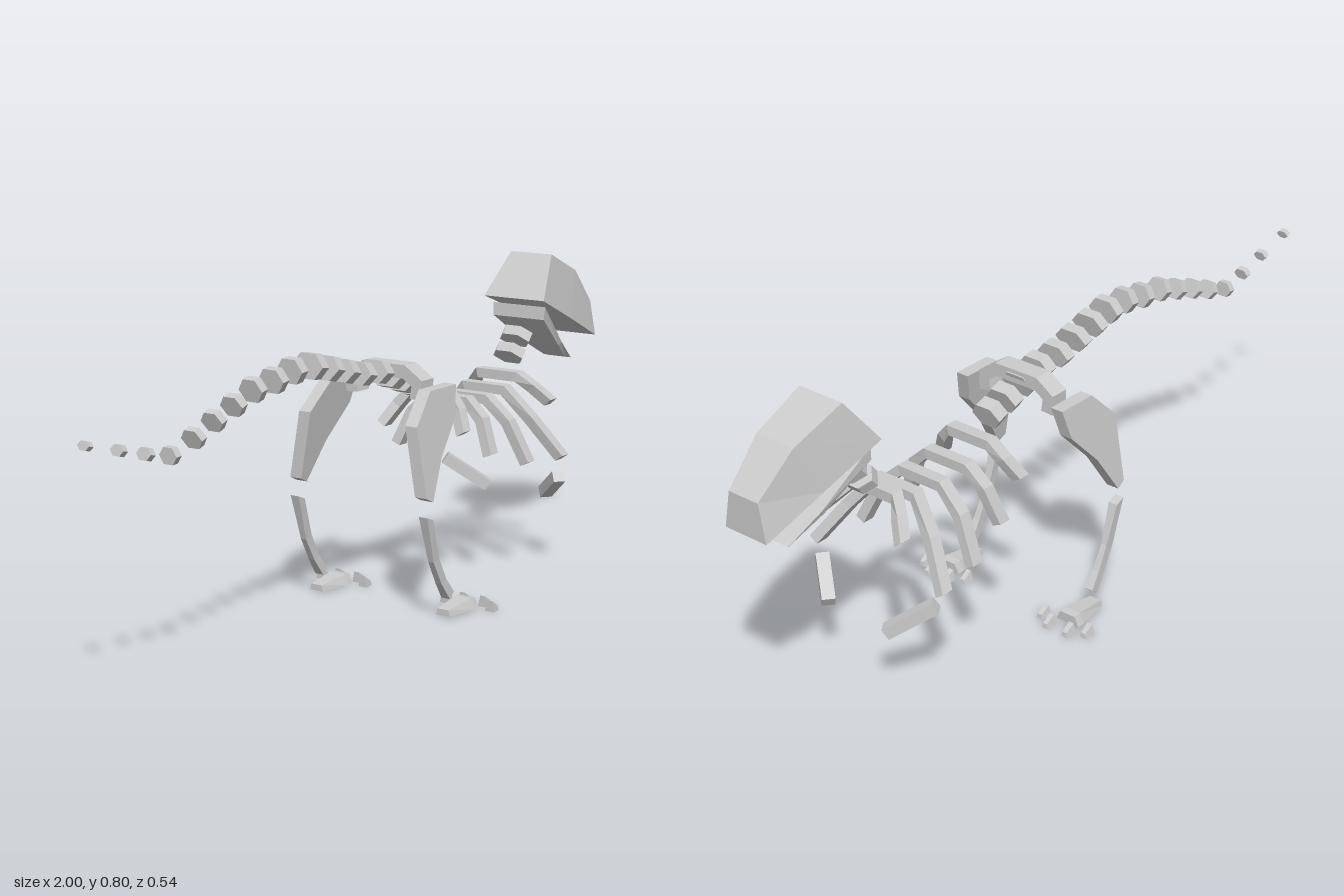
import * as THREE from 'three';

const material = new THREE.MeshStandardMaterial({ color: 0xcccccc, flatShading: true });

function add(group, name, geometry) {
  const mesh = new THREE.Mesh(geometry, material);
  mesh.name = name;
  group.add(mesh);
  return mesh;
}

// Closed solid through rings of equal point count, with flat end caps
function loft(rings) {
  const tris = [];
  const n = rings[0].length;
  for (let r = 0; r < rings.length - 1; r++) {
    for (let i = 0; i < n; i++) {
      const j = (i + 1) % n;
      const [a, b, c, d] = [rings[r][i], rings[r][j], rings[r + 1][j], rings[r + 1][i]];
      tris.push([a, b, c], [a, c, d]);
    }
  }
  const last = rings[rings.length - 1];
  for (let i = 1; i < n - 1; i++) {
    tris.push([rings[0][0], rings[0][i + 1], rings[0][i]], [last[0], last[i], last[i + 1]]);
  }
  // Turn the faces outward if the enclosed volume comes out negative
  const v = (p) => new THREE.Vector3(...p);
  const volume = tris.reduce((s, [a, b, c]) => s + v(a).dot(v(b).cross(v(c))), 0);
  if (volume < 0) tris.forEach((t) => t.reverse());
  const geometry = new THREE.BufferGeometry();
  geometry.setAttribute('position', new THREE.Float32BufferAttribute(tris.flat(2), 3));
  geometry.computeVertexNormals();
  return geometry;
}

// Trapezoid ring across z: [top x, top y, top half width, bottom x, bottom y, bottom half width, z shift]
const ring = ([tx, ty, tw, bx, by, bw, s = 0]) =>
  [[tx, ty, s - tw], [tx, ty, s + tw], [bx, by, s + bw], [bx, by, s - bw]];

// Bent bar arching over the body, mirrored across z; half path is [x, y, z] from the top outward
function arch(half, width, thick) {
  const path = [...half.map(([x, y, z]) => [x, y, -z]).reverse(), ...half];
  return loft(path.map(([x, y, z], i) => {
    const a = path[Math.max(i - 1, 0)], b = path[Math.min(i + 1, path.length - 1)];
    const dy = b[1] - a[1], dz = b[2] - a[2], len = Math.hypot(dy, dz);
    const ny = dz / len * thick / 2, nz = -dy / len * thick / 2, w = width / 2;
    return [[x - w, y + ny, z + nz], [x + w, y + ny, z + nz], [x + w, y - ny, z - nz], [x - w, y - ny, z - nz]];
  }));
}

// Side outline given thickness; its z position follows a function of height
function plate(outline, thick, zAt) {
  const shape = new THREE.Shape(outline.map(([x, y]) => new THREE.Vector2(x, y)));
  const geometry = new THREE.ExtrudeGeometry(shape, { depth: thick, bevelEnabled: false });
  const p = geometry.attributes.position;
  for (let i = 0; i < p.count; i++) p.setZ(i, p.getZ(i) - thick / 2 + zAt(p.getY(i)));
  geometry.computeVertexNormals();
  return geometry;
}

function vertebra(group, name, x, y, thick, height, halfWidth, angle) {
  const geometry = new THREE.CylinderGeometry(1, 1, 1, 6);
  geometry.rotateZ(Math.PI / 2);
  const p = geometry.attributes.position;
  // Put two corners at the sides, leaving flat top and bottom
  p.needsUpdate = true;
  geometry.computeBoundingBox();
  if (geometry.boundingBox.max.y > 0.95) geometry.rotateX(Math.PI / 6);
  geometry.scale(thick, height / 1.732, halfWidth);
  const mesh = add(group, name, geometry);
  mesh.position.set(x, y, 0);
  mesh.rotation.z = angle;
}

function createSpine() {
  const spine = new THREE.Group();
  spine.name = 'spine';
  // x, y, height, half width
  const bones = [
    [-0.993, 0.588, 0.02, 0.017], [-0.89, 0.56, 0.025, 0.019], [-0.805, 0.537, 0.028, 0.021],
    [-0.725, 0.52, 0.038, 0.025], [-0.645, 0.545, 0.044, 0.03], [-0.575, 0.572, 0.046, 0.031],
    [-0.505, 0.596, 0.048, 0.032], [-0.435, 0.62, 0.054, 0.034], [-0.36, 0.63, 0.056, 0.037],
    [-0.29, 0.642, 0.058, 0.038], [-0.22, 0.642, 0.06, 0.045], [-0.158, 0.628, 0.058, 0.047],
    [-0.094, 0.612, 0.056, 0.047], [-0.027, 0.596, 0.055, 0.047], [0.043, 0.59, 0.055, 0.047],
    [0.104, 0.572, 0.06, 0.047], [0.162, 0.552, 0.06, 0.045], [0.217, 0.533, 0.06, 0.042],
  ];
  bones.forEach(([x, y, h, w], i) => {
    const a = bones[Math.max(i - 1, 0)], b = bones[Math.min(i + 1, bones.length - 1)];
    const angle = Math.atan2(b[1] - a[1], b[0] - a[0]);
    vertebra(spine, i < 14 ? 'tailVertebra' : 'backVertebra', x, y, 0.014 + 0.02 * i / 17, h, w, angle);
  });
  [[0.655, 0.55, 0.06], [0.687, 0.59, 0.06]].forEach(([x, y, h]) =>
    vertebra(spine, 'neckVertebra', x, y, 0.028, h, 0.045, 0.87));
  return spine;
}

function createRibs() {
  const ribs = new THREE.Group();
  ribs.name = 'ribCage';
  // top x, y, shoulder x, y, z, tip x, y, z
  [
    [0.285, 0.5, 0.275, 0.465, 0.09, 0.25, 0.415, 0.12],
    [0.365, 0.472, 0.36, 0.43, 0.105, 0.345, 0.345, 0.14],
    [0.453, 0.465, 0.46, 0.41, 0.12, 0.475, 0.305, 0.17],
    [0.54, 0.475, 0.565, 0.4, 0.125, 0.605, 0.3, 0.195],
    [0.605, 0.5, 0.63, 0.47, 0.09, 0.66, 0.43, 0.125],
  ].forEach(([tx, ty, sx, sy, sz, ex, ey, ez]) =>
    add(ribs, 'rib', arch([[tx, ty, 0.06], [sx, sy, sz], [ex, ey, ez]], 0.032, 0.026)));
  return ribs;
}

function createHead() {
  const head = new THREE.Group();
  head.name = 'head';
  add(head, 'skull', loft([
    [0.77, 0.802, 0.063, 0.685, 0.69, 0.092, -0.008],
    [0.905, 0.745, 0.054, 0.845, 0.624, 0.077, -0.004],
    [1, 0.65, 0.043, 1, 0.557, 0.061, 0],
  ].map(ring)));
  add(head, 'lowerJaw', loft([
    [0.7, 0.672, 0.08, 0.697, 0.638, 0.078],
    [0.83, 0.56, 0.055, 0.82, 0.55, 0.052],
    [0.915, 0.503, 0.035, 0.885, 0.51, 0.033],
  ].map(ring)));
  return head;
}

function createLeg(side) {
  const leg = new THREE.Group();
  leg.name = side < 0 ? 'leftLeg' : 'rightLeg';
  add(leg, 'thigh', plate([[-0.035, 0.315], [-0.01, 0.303], [0.05, 0.4], [0.13, 0.485], [0.15, 0.56],
    [0.04, 0.56], [-0.035, 0.485]], 0.034, (y) => side * (0.145 + (0.56 - y) * 0.17)));
  const shin = [[-0.033, 0.268, -0.008, 0.258, 0.0125], [0.002, 0.15, 0.025, 0.158, 0.008],
    [0.035, 0.09, 0.055, 0.1, 0.009], [0.067, 0.045, 0.085, 0.06, 0.0125]];
  add(leg, 'shin', loft(shin.map(([x, y, x2, y2, w]) => ring([x2, y2, w, x, y, w, side * 0.192]))));
  add(leg, 'foot', loft([
    [0.055, 0.02, 0.016, 0.055, 0.004, 0.02, side * 0.192],
    [0.145, 0.03, 0.022, 0.145, 0.004, 0.034, side * 0.192],
    [0.165, 0.028, 0.022, 0.165, 0.004, 0.034, side * 0.192],
  ].map(ring)));
  // Four separate toes, the middle pair further forward
  for (const [x, z] of [[0.162, -0.067], [0.187, -0.03], [0.187, 0.03], [0.162, 0.067]]) {
    add(leg, 'toe', loft([
      [x, 0.028, 0.007, x, 0, 0.013, side * 0.192 + z],
      [x + 0.026, 0.012, 0.006, x + 0.028, 0, 0.009, side * 0.192 + z],
    ].map(ring)));
  }
  return leg;
}

// Short forearm running forward, down and inward
function createArm(name, from, to) {
  const a = new THREE.Vector3(...from), b = new THREE.Vector3(...to);
  const geometry = new THREE.BoxGeometry(0.032, 0.03, a.distanceTo(b));
  const arm = new THREE.Mesh(geometry, material);
  arm.name = name;
  arm.position.copy(a).add(b).multiplyScalar(0.5);
  arm.lookAt(b);
  return arm;
}

export function createModel() {
  const model = new THREE.Group();
  model.name = 'dinosaurSkeleton';
  model.add(createSpine(), createRibs(), createHead());
  add(model, 'pelvis', arch([[0.1, 0.59, 0.06], [0.1, 0.565, 0.098], [0.1, 0.525, 0.095]], 0.05, 0.034));
  for (const side of [-1, 1]) model.add(createLeg(side));
  model.add(createArm('rightArm', [0.6, 0.25, 0.19], [0.665, 0.185, 0.11]));
  model.add(createArm('leftArm', [0.6, 0.255, -0.165], [0.665, 0.18, -0.07]));
  return model;
}
